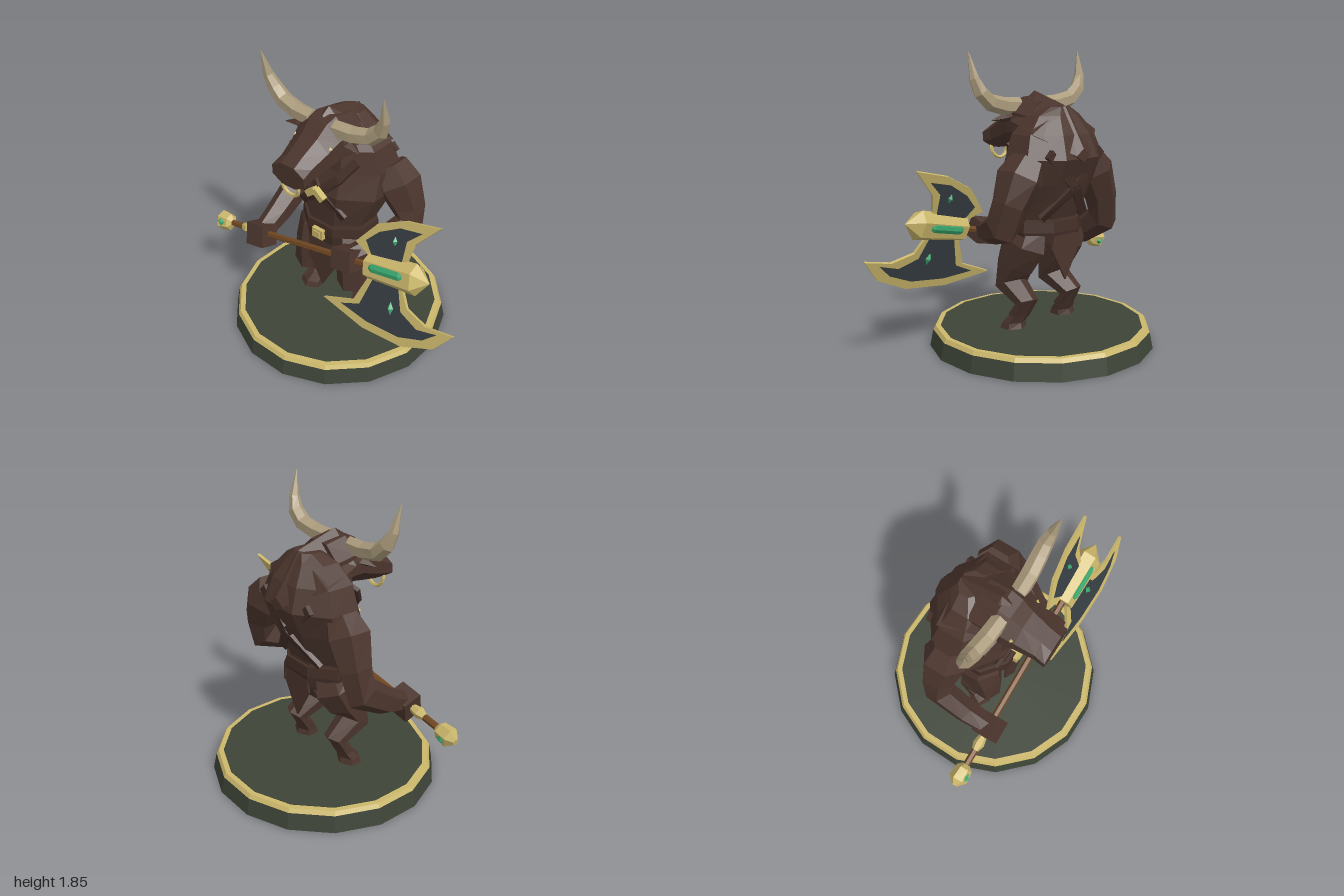
import * as THREE from 'three';

const mat = (name, color) => new THREE.MeshStandardMaterial({ name, color, flatShading: true });

// Faceted tube through [x, y, z, halfWidth, halfDepth] rings; ref is the width direction.
function loft(rings, sides, { ref = [1, 0, 0], axis = null, phase = 0.5 } = {}) {
  const pts = rings.map(r => new THREE.Vector3(r[0], r[1], r[2]));
  const grow = phase ? 1 / Math.cos(Math.PI / sides) : 1;
  const loops = rings.map((r, i) => {
    const t = axis ? new THREE.Vector3(...axis)
      : pts[Math.min(i + 1, pts.length - 1)].clone().sub(pts[Math.max(i - 1, 0)]).normalize();
    const s = new THREE.Vector3(...ref);
    s.addScaledVector(t, -s.dot(t)).normalize();
    const n = t.clone().cross(s);
    return Array.from({ length: sides }, (_, j) => {
      const a = (j + phase) / sides * Math.PI * 2;
      return pts[i].clone().addScaledVector(s, Math.cos(a) * r[3] * grow).addScaledVector(n, Math.sin(a) * r[4] * grow);
    });
  });
  const tri = [];
  const last = loops.length - 1;
  for (let j = 0; j < sides; j++) {
    const k = (j + 1) % sides;
    for (let i = 0; i < last; i++) {
      const [a, b, c, d] = [loops[i][j], loops[i][k], loops[i + 1][k], loops[i + 1][j]];
      tri.push(a, b, c, a, c, d);
    }
    tri.push(pts[0], loops[0][k], loops[0][j], pts[last], loops[last][j], loops[last][k]);
  }
  const geo = new THREE.BufferGeometry().setFromPoints(tri);
  geo.computeVertexNormals();
  return geo;
}

// Flat plate from an outline, centred on z = 0
function plate(outline, depth) {
  const shape = new THREE.Shape(outline.map(p => new THREE.Vector2(p[0], p[1])));
  return new THREE.ExtrudeGeometry(shape, { depth, bevelEnabled: false }).translate(0, 0, -depth / 2);
}

export function createModel() {
  const hide = mat('brown hide', 0x4b352d);
  const strapMat = mat('dark leather', 0x432e27);
  const gold = mat('gold', 0xcbb76b);
  const stone = mat('green stone', 0x3d4437);
  const horn = mat('horn', 0xac9c7d);
  const steel = mat('dark steel', 0x363e42);
  const gem = mat('green gem', 0x3aa870);
  const wood = mat('wood', 0x704722);

  const root = new THREE.Group();
  root.name = 'hornedWarrior';
  const add = (parent, name, geo, material, pos = [0, 0, 0], rot = [0, 0, 0]) => {
    const m = new THREE.Mesh(geo, material);
    m.name = name;
    m.position.set(...pos);
    m.rotation.set(...rot);
    parent.add(m);
    return m;
  };

  const figure = new THREE.Group();
  figure.name = 'figure';
  figure.position.x = -0.125;
  root.add(figure);

  // Sixteen-sided plinth
  const disc = (top, bottom, h) => new THREE.CylinderGeometry(top, bottom, h, 16, 1, false, Math.PI / 16);
  add(figure, 'plinth', disc(0.7, 0.722, 0.105), stone, [0, 0.0525, 0]);
  add(figure, 'plinthRim', disc(0.685, 0.7, 0.025), gold, [0, 0.1175, 0]);
  add(figure, 'plinthTop', disc(0.652, 0.652, 0.006), stone, [0, 0.13, 0]);

  // Torso, with the hump behind the neck
  add(figure, 'torso', loft([
    [0, 0.64, -0.02, 0.17, 0.14], [0, 0.72, -0.02, 0.23, 0.175], [0, 0.84, -0.02, 0.23, 0.175],
    [0, 1.06, -0.055, 0.325, 0.225], [0, 1.22, -0.115, 0.32, 0.235],
    [0, 1.36, -0.1, 0.27, 0.2], [0, 1.47, -0.1, 0.17, 0.13], [0, 1.52, -0.13, 0.08, 0.07],
  ], 8, { axis: [0, 1, 0] }), hide);
  add(figure, 'mane', loft([
    [0, 1.46, 0.13, 0.15, 0.11], [0, 1.43, 0.07, 0.2, 0.18], [0, 1.37, -0.2, 0.27, 0.16],
    [0, 1.24, -0.36, 0.06, 0.04],
  ], 4, { axis: [0, 0, 1].map(v => -v), phase: 0 }), hide);

  // Head
  add(figure, 'head', loft([
    [0, 1.4, -0.05, 0.17, 0.15], [0, 1.42, 0.09, 0.17, 0.155], [0, 1.41, 0.165, 0.16, 0.14],
    [0, 1.37, 0.24, 0.14, 0.115], [0, 1.325, 0.36, 0.12, 0.09], [0, 1.305, 0.43, 0.125, 0.07],
  ], 8, { axis: [0, 0, 1] }), hide);
  add(figure, 'noseRing', new THREE.TorusGeometry(0.066, 0.012, 5, 10, Math.PI * 1.2), gold,
    [0, 1.228, 0.415], [0.15, 0, Math.PI * 0.9]);

  for (const s of [-1, 1]) {
    add(figure, 'horn', loft([
      [s * 0.09, 1.515, 0.115, 0.045, 0.048], [s * 0.22, 1.52, 0.11, 0.048, 0.048],
      [s * 0.34, 1.548, 0.1, 0.046, 0.046], [s * 0.41, 1.61, 0.1, 0.04, 0.042],
      [s * 0.445, 1.69, 0.115, 0.028, 0.028], [s * 0.461, 1.848, 0.148, 0.002, 0.002],
    ], 6, { ref: [0, 0, 1] }), horn);
    add(figure, 'ear', loft([
      [s * 0.13, 1.465, 0.1, 0.025, 0.02], [s * 0.2, 1.45, 0.12, 0.04, 0.028], [s * 0.29, 1.435, 0.14, 0.003, 0.003],
    ], 4, { ref: [0, 0, 1], phase: 0 }), hide);
    add(figure, 'eye', new THREE.OctahedronGeometry(0.015), gold, [s * 0.137, 1.438, 0.215]);

    // Bent animal legs
    add(figure, 'leg', loft([
      [s * 0.14, 0.78, -0.03, 0.08, 0.13], [s * 0.165, 0.68, -0.02, 0.11, 0.155],
      [s * 0.175, 0.54, 0.04, 0.105, 0.12], [s * 0.185, 0.4, 0.085, 0.095, 0.08],
      [s * 0.195, 0.31, -0.07, 0.07, 0.055], [s * 0.2, 0.21, 0.0, 0.068, 0.045],
    ], 6), hide);
    add(figure, 'hoof', loft([
      [s * 0.2, 0.23, -0.02, 0.062, 0.042], [s * 0.215, 0.17, 0.025, 0.07, 0.055], [s * 0.22, 0.128, 0.03, 0.076, 0.07],
    ], 6, { axis: [0, -1, 0] }), hide);

    // Crossed straps and chest clasp
    add(figure, 'frontStrap', loft([
      [s * 0.2, 1.3, 0.06, 0.03, 0.012], [s * 0.13, 1.19, 0.14, 0.03, 0.012], [0, 1.06, 0.18, 0.03, 0.012],
      [-s * 0.17, 0.92, 0.14, 0.03, 0.012],
    ], 4), strapMat);
    add(figure, 'backStrap', loft([
      [s * 0.22, 1.26, -0.29, 0.03, 0.014], [0, 1.04, -0.29, 0.03, 0.014], [-s * 0.18, 0.85, -0.18, 0.03, 0.014],
    ], 4), strapMat);
    add(figure, 'clasp', new THREE.BoxGeometry(0.085, 0.042, 0.04), gold, [s * 0.03, 1.07, 0.205], [0, 0, -s * 0.65]);
  }

  // Belt, buckle and pointed loincloths
  add(figure, 'belt', loft([
    [0, 0.69, -0.02, 0.235, 0.19], [0, 0.76, -0.02, 0.25, 0.2], [0, 0.825, -0.02, 0.245, 0.195],
  ], 8, { axis: [0, 1, 0] }), strapMat);
  add(figure, 'buckle', new THREE.BoxGeometry(0.085, 0.07, 0.03), gold, [0, 0.757, 0.19]);
  add(figure, 'buckleCentre', new THREE.BoxGeometry(0.05, 0.038, 0.008), gold, [0, 0.757, 0.208]);
  const cloth = tip => plate([[-0.1, 0.74], [-0.115, tip + 0.2], [0, tip], [0.115, tip + 0.2], [0.1, 0.74]], 0.014);
  add(figure, 'frontLoincloth', cloth(0.32), hide, [0, 0, 0.162]);
  add(figure, 'backLoincloth', cloth(0.45), hide, [0, 0, -0.21]);

  // Arms, each reaching for the axe shaft
  add(root, 'rightArm', loft([
    [-0.41, 1.2, -0.11, 0.08, 0.09], [-0.47, 1.1, -0.11, 0.115, 0.125], [-0.545, 0.92, -0.12, 0.09, 0.095],
    [-0.585, 0.77, -0.1, 0.078, 0.095], [-0.585, 0.65, 0.09, 0.07, 0.075], [-0.575, 0.59, 0.24, 0.06, 0.055],
  ], 6), hide);
  add(root, 'leftArm', loft([
    [0.15, 1.21, -0.17, 0.09, 0.1], [0.22, 1.11, -0.17, 0.12, 0.13], [0.295, 0.96, -0.17, 0.095, 0.095],
    [0.325, 0.84, -0.14, 0.085, 0.1], [0.24, 0.77, 0.06, 0.07, 0.075], [0.16, 0.735, 0.22, 0.06, 0.055],
  ], 6), hide);

  // Axe: x runs along the shaft, y across the blades
  const axe = new THREE.Group();
  axe.name = 'axe';
  axe.position.set(0.505, 0.805, 0.235);
  axe.rotation.set(-0.325, 0.025, 0.204, 'YZX');
  root.add(axe);
  const bar = (name, rings, sides, m) =>
    add(axe, name, loft(rings.map(([x, w, d]) => [x, 0, 0, w, d]), sides, { ref: [0, 1, 0], axis: [1, 0, 0], phase: 0 }), m);
  bar('shaft', [[-1.45, 0.022, 0.022], [0.1, 0.022, 0.022]], 6, wood);
  bar('axeHead', [[-0.18, 0.085, 0.07], [0.165, 0.098, 0.08], [0.257, 0.003, 0.003]], 6, gold);
  bar('pommel', [[-1.535, 0.025, 0.02], [-1.49, 0.07, 0.06], [-1.41, 0.058, 0.052], [-1.385, 0.025, 0.025]], 6, gold);
  bar('collar', [[-1.28, 0.022, 0.022], [-1.235, 0.038, 0.038], [-1.18, 0.026, 0.026]], 6, gold);
  add(axe, 'rightHand', new THREE.BoxGeometry(0.15, 0.15, 0.13), hide, [-1.105, -0.01, 0]);
  add(axe, 'leftHand', new THREE.BoxGeometry(0.15, 0.13, 0.13), hide, [-0.355, 0, 0]);

  const upperRim = [[0.312, 0.335], [0.076, 0.329], [-0.127, 0.27], [-0.286, 0.13], [-0.163, 0.05], [0.083, 0.05], [0.141, 0.2]];
  const upperSteel = [[0.192, 0.28], [0.039, 0.279], [-0.109, 0.225], [-0.204, 0.155], [-0.15, 0.06], [0.06, 0.06], [0.09, 0.21]];
  const lowerRim = [[0.446, -0.259], [0.319, -0.374], [0.09, -0.429], [-0.204, -0.399], [-0.521, -0.289],
    [-0.283, -0.243], [-0.17, -0.06], [0.072, -0.06], [0.121, -0.188], [0.26, -0.258]];
  const lowerSteel = [[0.339, -0.28], [0.244, -0.341], [0.075, -0.374], [-0.167, -0.349], [-0.372, -0.289],
    [-0.23, -0.255], [-0.135, -0.07], [0.05, -0.07], [0.078, -0.218], [0.198, -0.291]];
  add(axe, 'upperBladeRim', plate(upperRim, 0.02), gold);
  add(axe, 'upperBlade', plate(upperSteel, 0.028), steel);
  add(axe, 'lowerBladeRim', plate(lowerRim, 0.02), gold);
  add(axe, 'lowerBlade', plate(lowerSteel, 0.028), steel);

  // Gems show on both faces of the axe
  const diamond = (name, x, y, w, h, d) =>
    add(axe, name, new THREE.OctahedronGeometry(1).scale(w, h, d), gem, [x, y, 0]);
  diamond('upperBladeGem', 0.01, 0.195, 0.028, 0.05, 0.035);
  diamond('lowerBladeGem', 0.007, -0.215, 0.036, 0.07, 0.035);
  for (const s of [-1, 1]) {
    add(axe, 'headGem', loft([
      [-0.12, 0, 0, 0.012, 0.006], [-0.1, 0, 0, 0.024, 0.014], [0.1, 0, 0, 0.024, 0.014], [0.12, 0, 0, 0.012, 0.006],
    ], 6, { ref: [0, 1, 0], axis: [1, 0, 0] }), gem, [-0.01, 0.015, s * 0.066]);
    add(axe, 'pommelGem', new THREE.OctahedronGeometry(1).scale(0.034, 0.03, 0.018), gem, [-1.46, 0, s * 0.048]);
  }
  return root;
}
